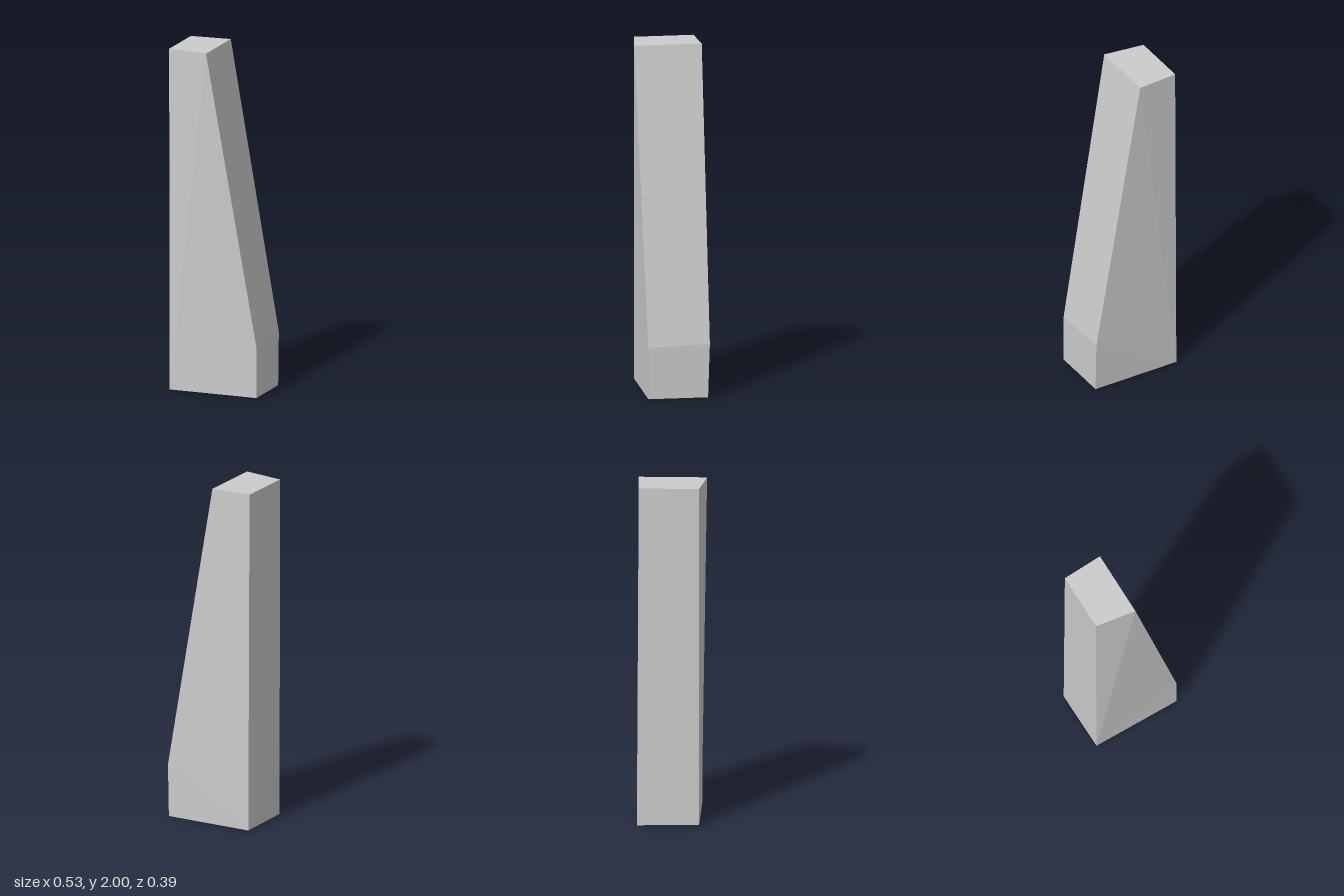
import * as THREE from 'three';

export function createModel() {
  const group = new THREE.Group();

  // Five-sided outlines, counter-clockwise from the bottom left corner
  const front = [[-0.264, 0.005, 0.157], [0.267, 0, 0.16], [0.267, 0.3, 0.16], [-0.027, 2, 0.195], [-0.267, 2, 0.157]];
  const back = [[-0.267, 0, -0.198], [0.267, 0, -0.185], [0.267, 0.31, -0.195], [-0.027, 2, -0.195], [-0.267, 2, -0.185]];
  const n = front.length;
  const index = [];

  // Front and back faces, fanned from the bottom left corner
  for (let i = 1; i < n - 1; i++) {
    index.push(0, i, i + 1);
    index.push(n, n + i + 1, n + i);
  }
  // Bottom, right side, slope, top and left side
  for (let i = 0; i < n; i++) {
    const j = (i + 1) % n;
    index.push(i, n + i, n + j, i, n + j, j);
  }

  const indexed = new THREE.BufferGeometry();
  indexed.setAttribute('position', new THREE.Float32BufferAttribute([...front, ...back].flat(), 3));
  indexed.setIndex(index);
  const geometry = indexed.toNonIndexed();
  geometry.computeVertexNormals();

  const post = new THREE.Mesh(geometry, new THREE.MeshStandardMaterial({ color: 0xcccccc, flatShading: true }));
  post.name = 'taperedPost';
  group.add(post);
  return group;
}
